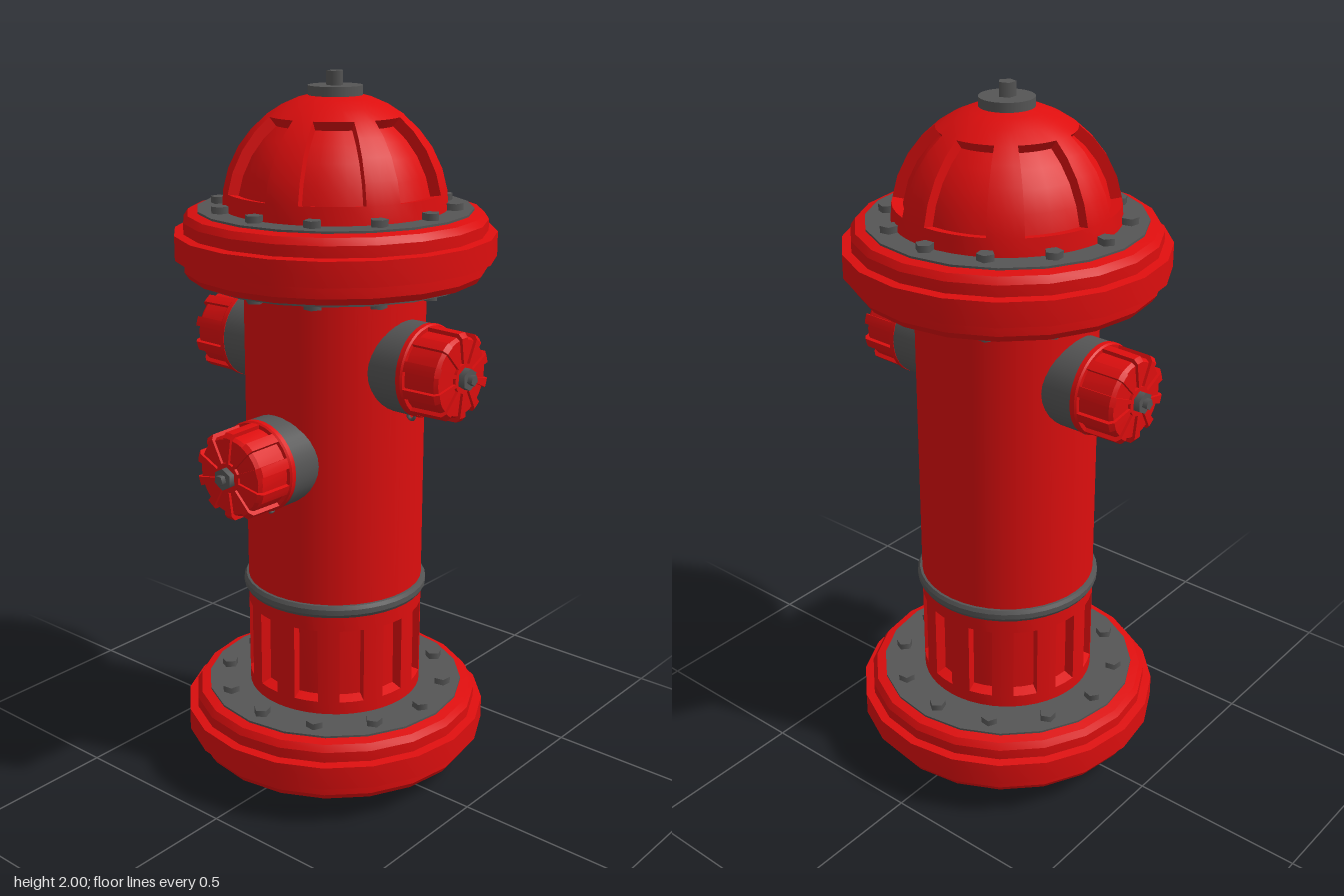
import * as THREE from 'three';
import { toCreasedNormals } from 'three/addons/utils/BufferGeometryUtils.js';

const red = new THREE.MeshStandardMaterial({ color: 0xdd0e0e });
const grey = new THREE.MeshStandardMaterial({ color: 0x555555 });

function add(parent, name, geometry, material, x = 0, y = 0, z = 0) {
  const mesh = new THREE.Mesh(geometry, material);
  mesh.name = name;
  mesh.position.set(x, y, z);
  parent.add(mesh);
  return mesh;
}

const cylinder = (r, h, sides = 32) => new THREE.CylinderGeometry(r, r, h, sides);

function lathe(points, sides) {
  const geo = new THREE.LatheGeometry(points.map(p => new THREE.Vector2(...p)), sides);
  return toCreasedNormals(geo, 0.5);
}

// Turned surface with evenly spaced sunken panels.
// wall and floor are [radius, y] profiles running upward; rows from..to are sunken.
function panelled(wall, floor, from, to, count, centre, half, steps = 2) {
  const pos = [];
  const at = ([r, y], a) => [r * Math.cos(a), y, r * Math.sin(a)];
  const quad = (a, b, c, d) => pos.push(...a, ...b, ...c, ...a, ...c, ...d);
  const band = (p, q, a, b) => quad(at(p, a), at(q, a), at(q, b), at(p, b));
  const pitch = Math.PI * 2 / count;
  for (let k = 0; k < count; k++) {
    const start = centre + k * pitch - half;
    const end = start + 2 * half;
    for (let s = 0; s < steps; s++) {
      const a = start + 2 * half * s / steps, b = start + 2 * half * (s + 1) / steps;
      const gap = (pitch - 2 * half) / steps;
      for (let i = 0; i < wall.length - 1; i++) {
        const p = i >= from && i < to ? floor : wall;
        band(p[i], p[i + 1], a, b);
        band(wall[i], wall[i + 1], end + gap * s, end + gap * (s + 1));
      }
      // Lower and upper edges of the panel
      quad(at(floor[from], a), at(floor[from], b), at(wall[from], b), at(wall[from], a));
      quad(at(wall[to], a), at(wall[to], b), at(floor[to], b), at(floor[to], a));
    }
    // Side edges of the panel
    for (let i = from; i < to; i++) {
      quad(at(floor[i], start), at(wall[i], start), at(wall[i + 1], start), at(floor[i + 1], start));
      quad(at(floor[i], end), at(floor[i + 1], end), at(wall[i + 1], end), at(wall[i], end));
    }
  }
  const geo = new THREE.BufferGeometry();
  geo.setAttribute('position', new THREE.Float32BufferAttribute(pos, 3));
  return toCreasedNormals(geo, 0.5);
}

// Stepped rim with a grey plate and a circle of bolts on both faces
function makeFlange(name, y) {
  const flange = new THREE.Group();
  flange.name = name;
  flange.position.y = y;
  const half = [[0.437, 0.033], [0.412, 0.036], [0.412, 0.066], [0.4, 0.084], [0.37, 0.09]];
  const profile = [...half.map(([r, h]) => [r, -h]).reverse(), ...half];
  add(flange, 'rim', lathe(profile, 20), red);
  add(flange, 'plate', cylinder(0.373, 0.19, 20), grey);
  const bolt = cylinder(0.024, 0.226, 5);
  for (let i = 0; i < 12; i++) {
    const a = i * Math.PI / 6;
    const mesh = add(flange, 'bolt', bolt, grey, 0.32 * Math.sin(a), 0, 0.32 * Math.cos(a));
    mesh.rotation.y = a;
  }
  return flange;
}

// Outlet pointing along +z, with a ribbed cap, nut and chain loop
function makeOutlet(name, y, turn) {
  const outlet = new THREE.Group();
  outlet.name = name;
  outlet.position.y = y;
  outlet.rotation.y = turn;
  const axis = new THREE.Group();
  axis.name = 'outletAxis';
  axis.rotation.x = Math.PI / 2;
  outlet.add(axis);
  add(axis, 'neck', cylinder(0.125, 0.16), grey, 0, 0.23, 0);
  const wall = [[0.115, 0.305], [0.126, 0.308], [0.126, 0.322], [0.122, 0.327],
    [0.12, 0.425], [0.108, 0.436], [0.04, 0.438], [0.01, 0.438]];
  const floor = wall.map(([r, h], i) =>
    i < 5 ? [r - 0.011, h] : [r - (i === 5 ? 0.006 : 0), h - 0.008]);
  floor[4] = [0.109, 0.418];
  add(axis, 'cap', panelled(wall, floor, 3, 6, 10, 0, 0.2), red);
  add(axis, 'nut', cylinder(0.03, 0.024, 6), grey, 0, 0.444, 0);
  add(axis, 'stem', cylinder(0.015, 0.04, 5), grey, 0, 0.45, 0);
  const loop = add(axis, 'chainLoop', new THREE.TorusGeometry(0.011, 0.005, 6, 10), grey, 0, 0.268, 0.135);
  loop.rotation.y = Math.PI / 2;
  return outlet;
}

export function createModel() {
  const hydrant = new THREE.Group();
  hydrant.name = 'hydrant';
  const body = new THREE.Group();
  body.name = 'body';
  body.position.z = -0.013;
  hydrant.add(body);

  // Foot, flanges and barrel
  add(body, 'foot', cylinder(0.27, 0.07, 40), grey, 0, 0.035, 0);
  body.add(makeFlange('lowerFlange', 0.153), makeFlange('upperFlange', 1.55));
  add(body, 'barrel', cylinder(0.25, 0.92, 40), red, 0, 1.02, 0);

  // Lower barrel with upright sunken panels
  const wall = [[0.25, 0.24], [0.25, 0.285], [0.25, 0.505], [0.25, 0.57]];
  const floor = [[0.22, 0.24], [0.22, 0.295], [0.22, 0.495], [0.22, 0.57]];
  add(body, 'lowerBarrel', panelled(wall, floor, 1, 2, 12, Math.PI * 99 / 180, 0.14), red);
  add(body, 'barrelRing', lathe([[0.24, 0.548], [0.257, 0.55], [0.263, 0.56], [0.263, 0.575],
    [0.257, 0.585], [0.24, 0.587]], 40), grey);

  // Dome with seven sunken panels
  const arc = (radius, degrees) => {
    const t = degrees * Math.PI / 180;
    return [radius * Math.cos(t), 1.645 + radius * Math.sin(t)];
  };
  const rows = [0, 9, 20, 32, 43, 53, 62, 71, 80];
  const domeWall = rows.map(d => arc(0.303, d));
  const domeFloor = rows.map(d => arc(0.273, d));
  add(body, 'dome', panelled(domeWall, domeFloor, 1, 5, 7, 0, 0.29, 4), red);

  // Operating nut on the crown
  add(body, 'crownPlate', cylinder(0.073, 0.03), grey, 0, 1.948, 0);
  add(body, 'crownNut', cylinder(0.024, 0.05, 5), grey, 0, 1.975, 0).rotation.y = Math.PI / 2;

  // Outlets: one at the front, one on each side
  body.add(
    makeOutlet('frontOutlet', 0.99, 0),
    makeOutlet('leftOutlet', 1.245, Math.PI / 2),
    makeOutlet('rightOutlet', 1.245, -Math.PI / 2));
  return hydrant;
}
